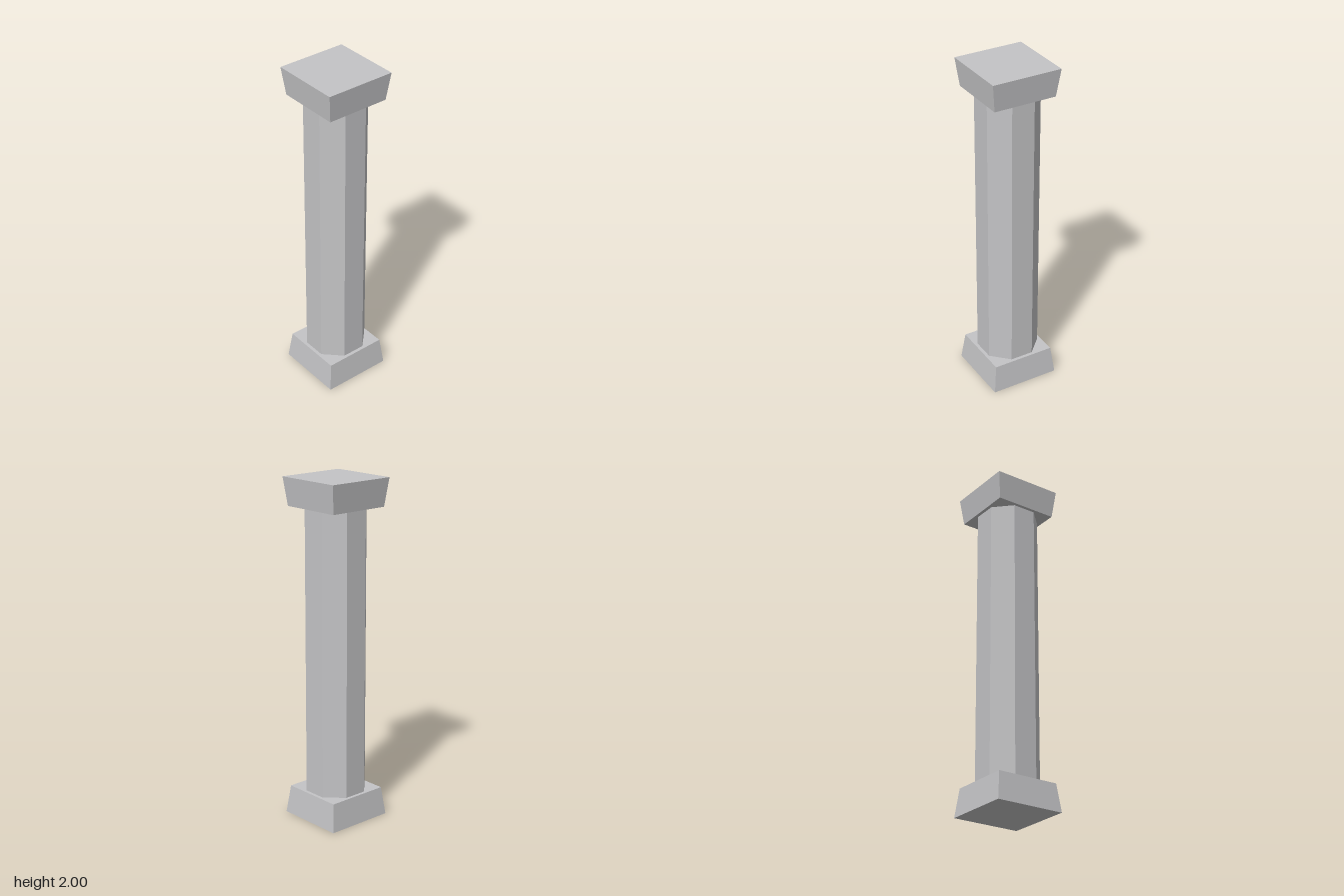
import * as THREE from 'three';

export function createModel() {
  const group = new THREE.Group();
  const stone = new THREE.MeshStandardMaterial({ color: 0xc4c4c6 });
  stone.name = 'grey stone';

  // Upright prism whose flat sides face the axes; sizes are half widths across flats
  function prism(name, sides, topHalf, bottomHalf, y0, y1) {
    const k = 1 / Math.cos(Math.PI / sides);
    const geo = new THREE.CylinderGeometry(topHalf * k, bottomHalf * k, y1 - y0, sides)
      .rotateY(Math.PI / sides)
      .translate(0, (y0 + y1) / 2, 0)
      .toNonIndexed();
    geo.computeVertexNormals(); // crisp facets
    const mesh = new THREE.Mesh(geo, stone);
    mesh.name = name;
    group.add(mesh);
  }

  prism('base', 4, 0.188, 0.208, 0, 0.166);
  prism('shaft', 8, 0.168, 0.168, 0.166, 1.836);
  prism('capital', 4, 0.208, 0.188, 1.836, 2);

  group.name = 'column';
  return group;
}
